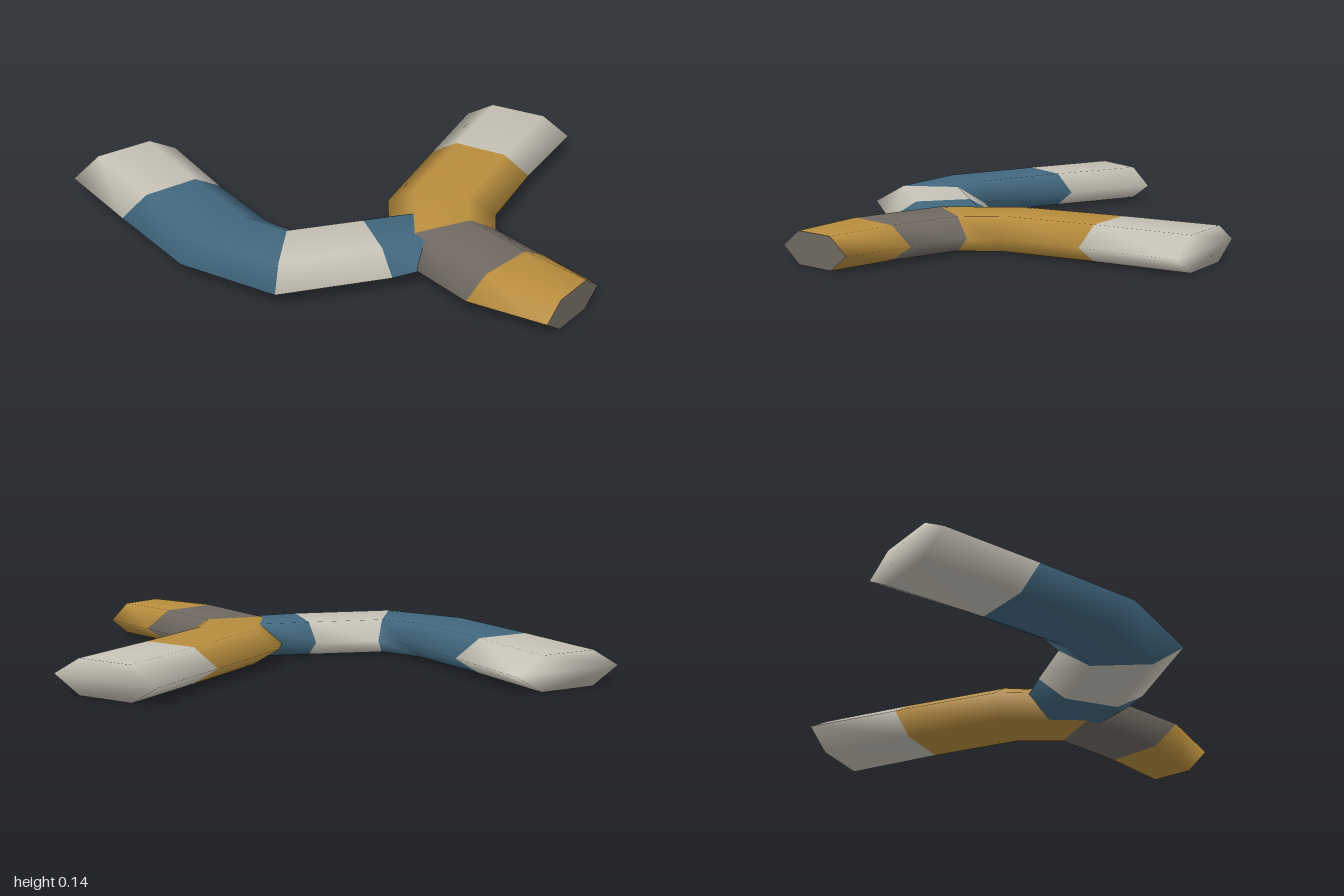
import * as THREE from 'three';

const mat = (name, color) => {
  const m = new THREE.MeshStandardMaterial({ color });
  m.name = name;
  return m;
};

// Flattened hexagon between two side points [xa, za, xb, zb], standing on y = 0
function hexRing([xa, za, xb, zb, h]) {
  const at = (t, y) => [xa + (xb - xa) * t, y, za + (zb - za) * t];
  return [at(0, h / 2), at(0.25, h), at(0.75, h), at(1, h / 2), at(0.75, 0), at(0.25, 0)];
}

// Smooth tube through hexagonal rings; colors holds one material index per segment
function strand(name, rings, colors, materials, endCap) {
  const pos = rings.flatMap(hexRing).flat();
  const index = [];
  const geo = new THREE.BufferGeometry();
  const addGroup = (start, material) => geo.addGroup(start, index.length - start, material);

  // Starting cap, sharing the smooth normals of the tube
  for (let k = 1; k < 5; k++) index.push(0, k, k + 1);
  addGroup(0, colors[0]);

  // Coloured bands
  colors.forEach((color, i) => {
    const start = index.length;
    for (let k = 0; k < 6; k++) {
      const a = i * 6 + k, b = i * 6 + (k + 1) % 6;
      index.push(a, a + 6, b, b, a + 6, b + 6);
    }
    addGroup(start, color);
  });
  geo.setAttribute('position', new THREE.Float32BufferAttribute(pos, 3));
  geo.setIndex(index);
  geo.computeVertexNormals();

  const tube = new THREE.Mesh(geo, materials);
  tube.name = name;

  // Flat cap at the far end
  const capGeo = new THREE.BufferGeometry();
  capGeo.setAttribute('position', new THREE.Float32BufferAttribute(hexRing(rings.at(-1)).flat(), 3));
  capGeo.setIndex([1, 2, 3, 4].flatMap((k) => [0, k + 1, k]));
  capGeo.computeVertexNormals();
  const cap = new THREE.Mesh(capGeo, endCap);
  cap.name = name + 'EndCap';

  const group = new THREE.Group();
  group.name = name + 'Group';
  group.add(tube, cap);
  return group;
}

export function createModel() {
  const cream = mat('cream', 0xc6c2b6);
  const blue = mat('blue', 0x42687f);
  const ochre = mat('ochre', 0xb98e3e);
  const gray = mat('gray', 0x706a62);

  const model = new THREE.Group();
  model.name = 'stripedBranches';

  // Curved blue and cream branch, joining the main branch at its inner end
  model.add(strand('blueBranch', [
    [-1.0, -0.95, -0.52, -0.98, 0.14],
    [-0.96, -0.54, -0.505, -0.575, 0.14],
    [-0.91, -0.10, -0.47, -0.21, 0.14],
    [-0.70, 0.28, -0.42, -0.11, 0.137],
    [-0.26, 0.405, -0.17, -0.04, 0.135],
    [-0.10, 0.42, 0.05, 0.03, 0.133],
  ], [0, 1, 1, 0, 1], [cream, blue], blue));

  // Main ochre branch with cream tip and gray band
  model.add(strand('ochreBranch', [
    [0.74, -0.595, 0.995, -0.185, 0.142],
    [0.41, -0.37, 0.64, 0.02, 0.142],
    [0.03, -0.11, 0.34, 0.22, 0.14],
    [-0.18, 0.25, 0.28, 0.31, 0.138],
    [-0.11, 0.685, 0.33, 0.565, 0.135],
    [0.06, 0.97, 0.385, 0.845, 0.13],
  ], [0, 1, 1, 2, 1], [cream, ochre, gray], gray));

  return model;
}
